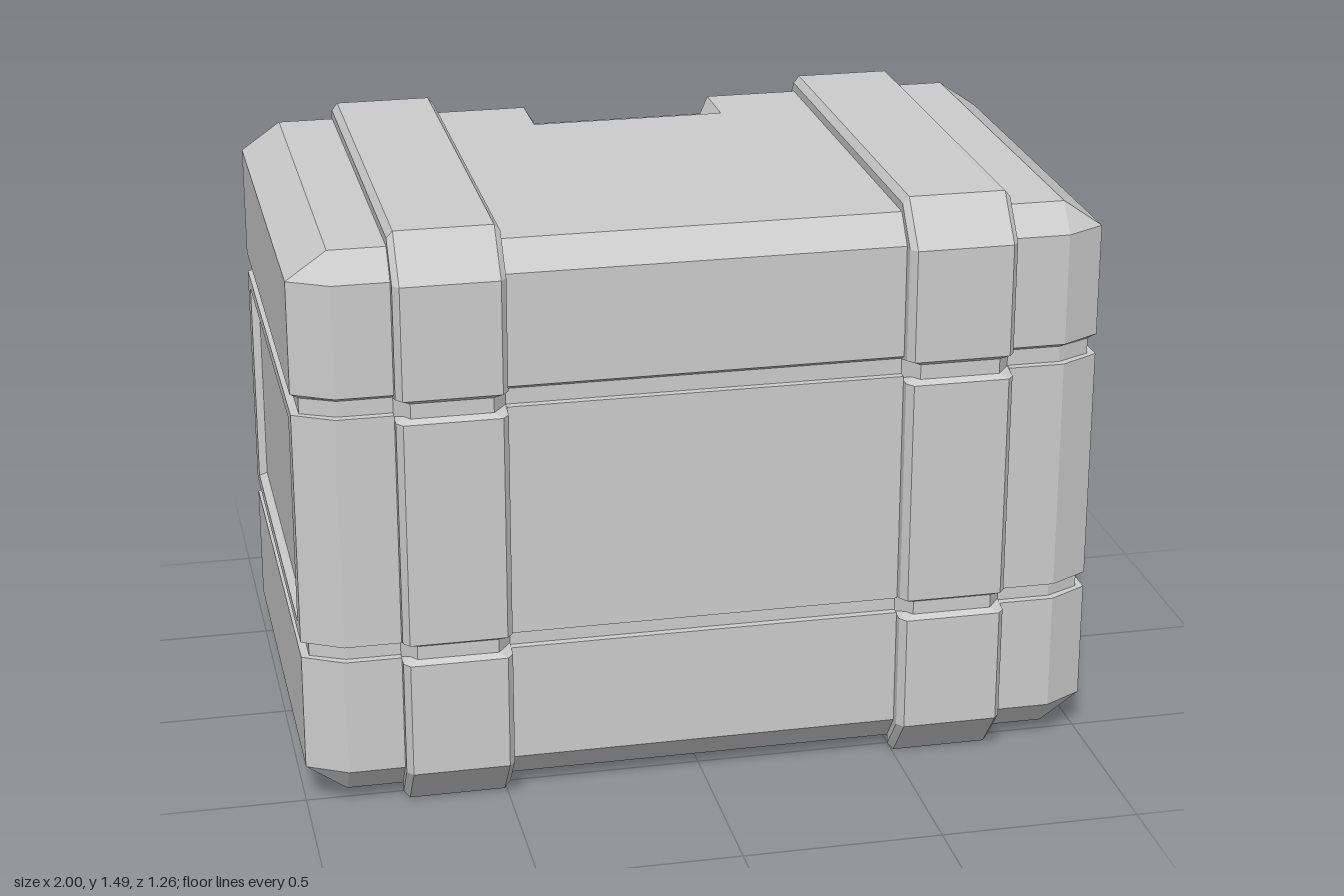
import * as THREE from 'three';

const material = new THREE.MeshStandardMaterial({ color: 0xcccccc, flatShading: true, side: THREE.DoubleSide });

// Collects flat quads and turns them into one mesh
class Quads {
  constructor() { this.pos = []; }
  add(a, b, c, d) { this.pos.push(...a, ...b, ...c, ...a, ...c, ...d); }
  mesh(name) {
    const g = new THREE.BufferGeometry();
    g.setAttribute('position', new THREE.Float32BufferAttribute(this.pos, 3));
    g.computeVertexNormals();
    const m = new THREE.Mesh(g, material);
    m.name = name;
    return m;
  }
}

const W = 1, D = 0.585;          // half width and half depth
const CX = 0.9, CZ = 0.53;       // where the edge chamfers begin
const BAND = [0.49, 0.76];       // inner and outer x of the bands
const NOTCH = { x: 0.25, z: -0.37, y: 1.29 };

// Levels of the shell: height, groove depth, closed to the chamfered rim
const levels = [
  [0.04, 0, true], [0.11, 0], [0.41, 0], [0.41, 0.02], [0.45, 0.02], [0.45, 0],
  [1.045, 0], [1.045, 0.02], [1.085, 0.02], [1.097, 0], [NOTCH.y, 0], [1.38, 0], [1.45, 0, true],
];

// Half sizes of the chamfered outline at one level
function outline([y, d, rim]) {
  return rim ? { y, w: CX, d: CZ, cx: CX, cz: CZ }
    : { y, w: W - d, d: D - d, cx: CX - 0.3 * d, cz: CZ - 0.3 * d };
}

function makeShell() {
  const q = new Quads();
  for (let i = 0; i < levels.length - 1; i++) {
    const a = outline(levels[i]), b = outline(levels[i + 1]);
    const panelLevel = a.y === 0.45 && b.y === 1.045;
    const notchLevel = a.y >= NOTCH.y;
    for (const s of [1, -1]) {
      // End wall (s gives the side), replaced by the panel at mid height
      if (!panelLevel) q.add([s * a.w, a.y, s * a.cz], [s * a.w, a.y, -s * a.cz],
        [s * b.w, b.y, -s * b.cz], [s * b.w, b.y, s * b.cz]);
      // Corner chamfers
      q.add([s * a.cx, a.y, s * a.d], [s * a.w, a.y, s * a.cz], [s * b.w, b.y, s * b.cz], [s * b.cx, b.y, s * b.d]);
      q.add([s * a.w, a.y, -s * a.cz], [s * a.cx, a.y, -s * a.d], [s * b.cx, b.y, -s * b.d], [s * b.w, b.y, -s * b.cz]);
      // Front (s = 1) and back (s = -1) walls, open behind the bands
      const [x0, x1] = BAND;
      const cells = [[-a.cx, -x1, -b.cx, -x1], [x1, a.cx, x1, b.cx]];
      if (s < 0 && notchLevel) cells.push([-x0, -NOTCH.x, -x0, -NOTCH.x], [NOTCH.x, x0, NOTCH.x, x0]);
      else if (s > 0 || !panelLevel) cells.push([-x0, x0, -x0, x0]);
      for (const [al, ar, bl, br] of cells)
        q.add([s * al, a.y, s * a.d], [s * ar, a.y, s * a.d], [s * br, b.y, s * b.d], [s * bl, b.y, s * b.d]);
    }
  }
  // Lid top, cut away for the handle recess
  const top = (l, r, front, back) =>
    q.add([l, 1.45, front], [r, 1.45, front], [r, 1.45, back], [l, 1.45, back]);
  top(-CX, -BAND[1], CZ, -CZ);
  top(BAND[1], CX, CZ, -CZ);
  top(-BAND[0], BAND[0], CZ, NOTCH.z);
  top(-BAND[0], -NOTCH.x, NOTCH.z, -CZ);
  top(NOTCH.x, BAND[0], NOTCH.z, -CZ);
  return q.mesh('caseShell');
}

// Recessed panel in a wall; place maps (u, v, depth) to a point
function makePanel(name, cellHalf, half, place) {
  const q = new Quads();
  const ring = (h, y0, y1, d) => [[-h, y0], [h, y0], [h, y1], [-h, y1]].map(([u, v]) => place(u, v, d));
  const rings = [
    ring(cellHalf, 0.45, 1.045, 0),
    ring(half, 0.48, 1.015, 0),
    ring(half - 0.012, 0.492, 1.003, 0.02),
  ];
  for (let r = 0; r < 2; r++)
    for (let i = 0; i < 4; i++) {
      const j = (i + 1) % 4;
      q.add(rings[r][i], rings[r][j], rings[r + 1][j], rings[r + 1][i]);
    }
  q.add(...rings[2]);
  return q.mesh(name);
}

// Sunken grip over the top back edge, with sloping rims
function makeHandleRecess() {
  const q = new Quads();
  const outer = [[1.45, NOTCH.z], [1.45, -CZ], [1.38, -D], [NOTCH.y, -D]];
  const inner = [[1.41, -0.4], [1.41, -0.508], [1.345, -0.563], [1.312, -0.563]];
  const O = (s, i) => [s * NOTCH.x, ...outer[i]];
  const I = (s, i) => [s * 0.225, ...inner[i]];
  for (let i = 0; i < 3; i++) {
    q.add(I(1, i + 1), I(-1, i + 1), I(-1, i), I(1, i));
    q.add(O(1, i), O(1, i + 1), I(1, i + 1), I(1, i));
    q.add(I(-1, i), I(-1, i + 1), O(-1, i + 1), O(-1, i));
  }
  q.add(I(1, 0), I(-1, 0), O(-1, 0), O(1, 0));
  q.add(O(1, 3), O(-1, 3), I(-1, 3), I(1, 3));
  return q.mesh('handleRecess');
}

// Raised band running up the front, over the lid, down the back and under
function makeBand(name, centre) {
  const q = new Quads();
  // Stations: z, y, outward direction (z, y), 1 inside a groove
  const rise = [[CZ, 0.04, 0.2, -0.88, 0]];
  for (const [y, g] of [[0.11, 0], [0.405, 0], [0.415, 1], [0.45, 1], [0.46, 0],
    [1.035, 0], [1.045, 1], [1.083, 1], [1.095, 0], [1.38, 0]]) rise.push([D, y, 1, 0, g]);
  rise.push([CZ, 1.45, 0.2, 0.88, 0]);
  const back = rise.map(([z, y, nz, ny, g]) => [-z, y, -nz, ny, g]).reverse();
  const path = [...rise, ...back, [-0.4, 0.04, 0, -0.88, 0]];

  const profile = [[-0.135, -0.02], [-0.135, 0.025], [-0.12, 0.045], [0.12, 0.045], [0.135, 0.025], [0.135, -0.02]];
  const sections = path.map(([z, y, nz, ny, g]) => profile.map(([x, o]) => {
    const sunk = g && o > 0;
    const off = sunk ? o - 0.017 : o;
    return [centre + x - (sunk ? 0.02 * Math.sign(x) : 0), y + ny * off, z + nz * off];
  }));
  for (let i = 0; i < sections.length - 1; i++)
    for (let k = 0; k < profile.length - 1; k++)
      q.add(sections[i][k], sections[i][k + 1], sections[i + 1][k + 1], sections[i + 1][k]);
  // Closed end of the back foot
  const e = sections[sections.length - 1];
  q.add(e[0], e[1], e[4], e[5]);
  q.add(e[1], e[2], e[3], e[4]);
  return q.mesh(name);
}

export function createModel() {
  const group = new THREE.Group();
  group.name = 'storageCase';
  group.add(
    makeShell(),
    makeHandleRecess(),
    makePanel('leftPanel', CZ, 0.47, (u, v, d) => [W - d, v, -u]),
    makePanel('rightPanel', CZ, 0.47, (u, v, d) => [-W + d, v, u]),
    makePanel('backPanel', BAND[0], 0.46, (u, v, d) => [-u, v, -D + d]),
    makeBand('leftBand', 0.625),
    makeBand('rightBand', -0.625),
  );
  return group;
}
